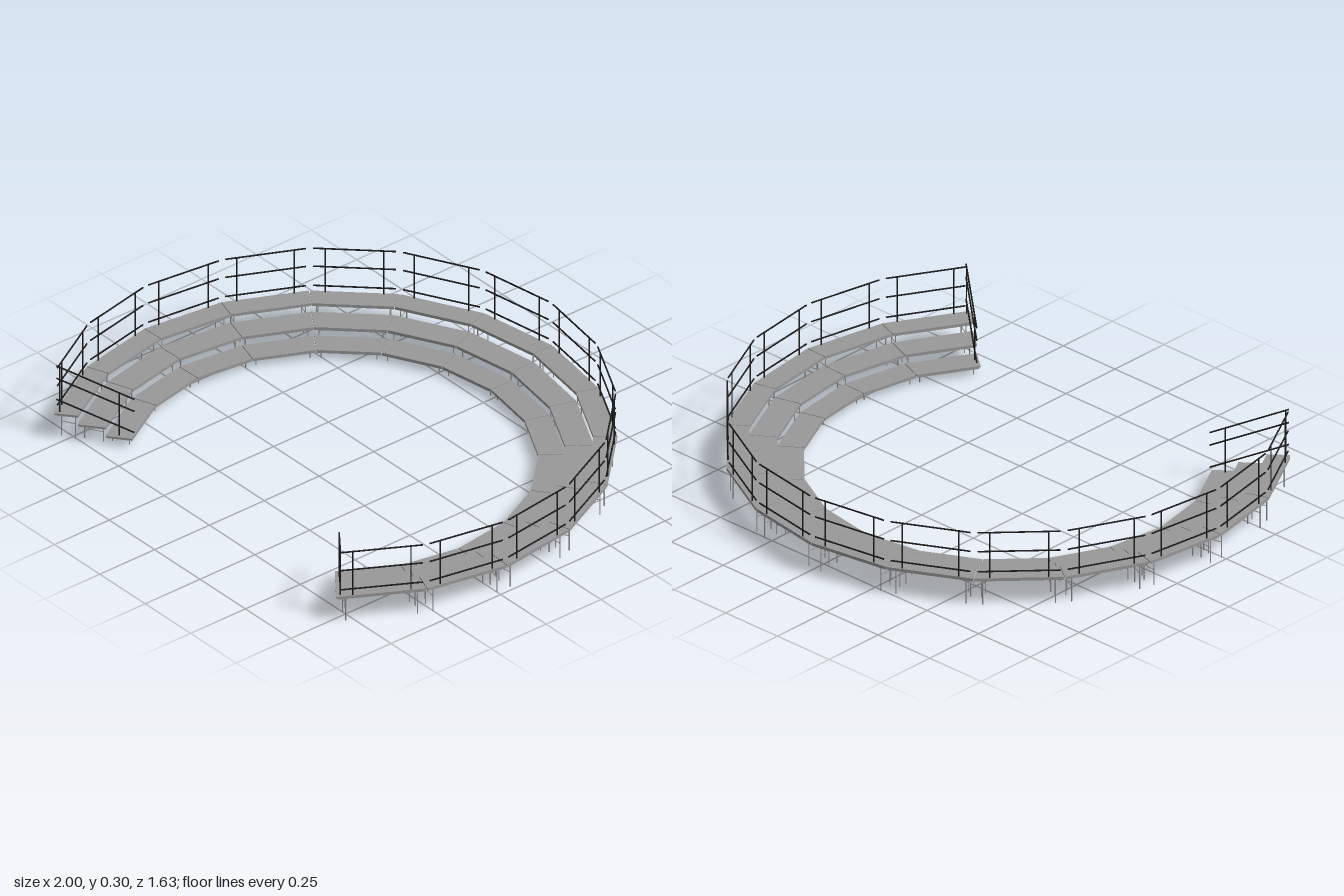
import * as THREE from 'three';

const STEP = THREE.MathUtils.degToRad(18.4), HALF = STEP / 2, SEGMENTS = 14;
const CENTRE_Z = 0.185, OUTER = 0.998;
// three stepped rows: inner radius, outer radius, top height
const ROWS = [
  { r0: 0.721, r1: 0.815, top: 0.039 },
  { r0: 0.815, r1: 0.915, top: 0.074 },
  { r0: 0.915, r1: OUTER, top: 0.11 },
];
const SLAB = 0.007, RAIL = 0.003, POST = 0.0026, LEG = 0.0022;
const deckGrey = new THREE.MeshStandardMaterial({ color: 0x999999, side: THREE.DoubleSide });
const frameGrey = new THREE.MeshStandardMaterial({ color: 0xcccccc });
const railDark = new THREE.MeshStandardMaterial({ color: 0x1c1c1c });

// round bar between two points
function bar(name, a, b, radius, material) {
  const from = new THREE.Vector3(...a), to = new THREE.Vector3(...b);
  const dir = to.clone().sub(from);
  const mesh = new THREE.Mesh(new THREE.CylinderGeometry(radius, radius, dir.length(), 8), material);
  mesh.name = name;
  mesh.position.copy(from).add(to).multiplyScalar(0.5);
  mesh.quaternion.setFromUnitVectors(new THREE.Vector3(0, 1, 0), dir.normalize());
  return mesh;
}

// box given by centre and size
function beam(name, x, y, z, w, h, d) {
  const mesh = new THREE.Mesh(new THREE.BoxGeometry(w, h, d), deckGrey);
  mesh.name = name;
  mesh.position.set(x, y, z);
  return mesh;
}

// one straight row section: outward is -z, along the row is x
function rowSection({ r0, r1, top }) {
  const g = new THREE.Group();
  g.name = 'rowSection';
  const d0 = r0 * Math.cos(HALF), d1 = r1 * Math.cos(HALF) + 0.001;
  const halfWidth = d => d * Math.tan(HALF) - 0.0015;
  const w0 = halfWidth(d0), w1 = halfWidth(d1);

  // deck plate
  const shape = new THREE.Shape([[-w0, d0], [w0, d0], [w1, d1], [-w1, d1]].map(p => new THREE.Vector2(...p)));
  const geo = new THREE.ExtrudeGeometry(shape, { depth: SLAB, bevelEnabled: false });
  geo.rotateX(-Math.PI / 2);
  const deck = new THREE.Mesh(geo, deckGrey);
  deck.name = 'deck';
  deck.position.y = top - SLAB;
  g.add(deck);

  // frame under the plate
  const fy = top - SLAB - 0.0025;
  g.add(beam('innerBeam', 0, fy, -d0 - 0.003, 2 * w0, 0.005, 0.005));
  g.add(beam('outerBeam', 0, fy, -d1 + 0.003, 2 * w1 - 0.004, 0.005, 0.005));

  // joint beam, legs and cross brace at both ends
  const l0 = d0 + 0.016, l1 = d1 - 0.014;
  for (const s of [-1, 1]) {
    const x0 = s * (halfWidth(l0) - 0.018), x1 = s * (halfWidth(l1) - 0.028);
    g.add(bar('jointBeam', [s * w0, fy, -d0 - 0.002], [s * w1, fy, -d1 + 0.002], 0.0025, frameGrey));
    g.add(bar('innerLeg', [x0, 0, -l0], [x0, fy, -l0], LEG, deckGrey));
    g.add(bar('outerLeg', [x1, 0, -l1], [x1, fy, -l1], LEG, deckGrey));
    g.add(bar('legBrace', [x0, top * 0.55, -l0], [x1, top * 0.55, -l1], LEG * 0.8, deckGrey));
  }
  return g;
}

// guard rail along the outer edge of a section
function guardRail() {
  const g = new THREE.Group();
  g.name = 'guardRail';
  const z = -OUTER * Math.cos(HALF) + 0.004, w = OUTER * Math.sin(HALF);
  for (const y of [0.29, 0.215, 0.135])
    g.add(bar('rail', [-w + 0.014, y, z], [w - 0.014, y, z], RAIL, railDark));
  for (const s of [-1, 1]) {
    const x = s * (w - 0.056);
    g.add(bar('post', [x, 0.097, z], [x, 0.291, z], POST, railDark));
  }
  return g;
}

// sloping railing closing one end, just inside the deck edge; outward is -z
function endRail(side) {
  const g = new THREE.Group();
  g.name = 'endRail';
  const x = -side * 0.01;
  for (const [low, high] of [[0.195, 0.3], [0.145, 0.248], [0.057, 0.16]])
    g.add(bar('slopingRail', [x, low, -0.715], [x, high, -0.995], RAIL, railDark));
  g.add(bar('lowerPost', [x, 0.028, -0.77], [x, 0.214, -0.77], POST, railDark));
  g.add(bar('upperPost', [x, 0.097, -0.983], [x, 0.294, -0.983], POST, railDark));
  // trim strip finishing each deck
  for (const { r0, r1, top } of ROWS)
    g.add(beam('endTrim', side * 0.0015, top - SLAB / 2, -(r0 + r1) / 2, 0.006, SLAB, r1 - r0));
  return g;
}

export function createModel() {
  const model = new THREE.Group();
  model.name = 'curvedGrandstand';
  const ring = new THREE.Group();
  ring.name = 'ring';
  ring.position.z = CENTRE_Z;
  model.add(ring);

  for (let i = 0; i < SEGMENTS; i++) {
    const section = new THREE.Group();
    section.name = 'section';
    section.rotation.y = -(i + 0.5 - SEGMENTS / 2) * STEP;
    for (const row of ROWS) section.add(rowSection(row));
    section.add(guardRail());
    ring.add(section);
  }

  for (const side of [-1, 1]) {
    const end = endRail(side);
    end.rotation.y = -side * (SEGMENTS / 2) * STEP;
    ring.add(end);
  }
  return model;
}
